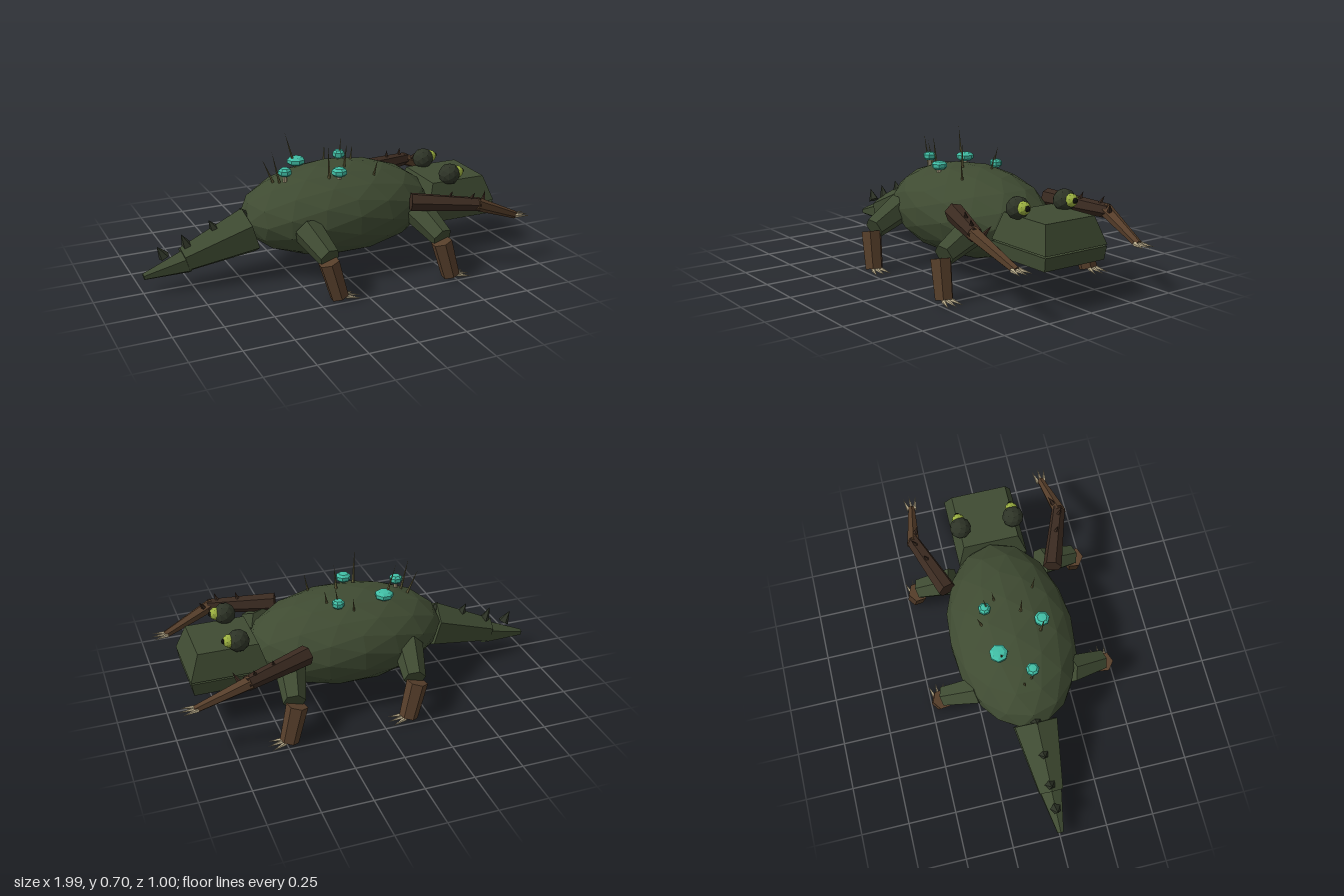
import * as THREE from 'three';

const mat = (name, color) => {
  const m = new THREE.MeshStandardMaterial({ color, flatShading: true });
  m.name = name;
  return m;
};

export function createModel() {
  const green = mat('moss green', 0x3f4b32);
  const darkGreen = mat('dark moss', 0x2e3427);
  const brown = mat('bark brown', 0x563e2a);
  const darkBrown = mat('dark bark', 0x3a2a20);
  const ivory = mat('ivory', 0xb5a888);
  const spineTan = mat('spine olive', 0x6c6640);
  const teal = mat('fungus teal', 0x41bfa6);
  const lime = mat('eye lime', 0x9bb040);
  const black = mat('pupil black', 0x12120d);

  const root = new THREE.Group();
  root.name = 'swampBeast';

  const add = (name, geometry, material, pos = [0, 0, 0], parent = root) => {
    const m = new THREE.Mesh(geometry, material);
    m.name = name;
    m.position.set(...pos);
    parent.add(m);
    return m;
  };

  // Tapered prism from a to b; r1 = 0 makes a cone
  const limb = (name, a, b, r0, r1, sides, material, parent = root) => {
    const p = new THREE.Vector3(...a), q = new THREE.Vector3(...b);
    const d = q.clone().sub(p);
    const geo = new THREE.CylinderGeometry(r1, r0, d.length(), sides);
    geo.rotateY(Math.PI / 6);
    const m = add(name, geo, material, p.clone().add(q).multiplyScalar(0.5).toArray(), parent);
    m.quaternion.setFromUnitVectors(new THREE.Vector3(0, 1, 0), d.normalize());
    return m;
  };

  // Block with separate x range and half width at the bottom and the top
  const block = (name, y0, y1, bottom, top, material) => {
    const geo = new THREE.BoxGeometry(1, 1, 1);
    const p = geo.attributes.position;
    for (let i = 0; i < p.count; i++) {
      const up = p.getY(i) > 0;
      const [x0, x1, hz] = up ? top : bottom;
      p.setXYZ(i, p.getX(i) > 0 ? x1 : x0, up ? y1 : y0, Math.sign(p.getZ(i)) * hz);
    }
    geo.computeVertexNormals();
    return add(name, geo, material);
  };

  // Body
  const body = add('body', new THREE.IcosahedronGeometry(1, 2), green, [0.045, 0.305, -0.01]);
  body.scale.set(0.52, 0.236, 0.328);

  // Tail and its ridge of thorns
  limb('tailBase', [-0.44, 0.25, 0], [-0.785, 0.148, 0], 0.128, 0.07, 6, green);
  limb('tailTip', [-0.77, 0.138, 0], [-0.995, 0.092, 0], 0.066, 0.018, 6, green);
  [[-0.885, 0.18, -0.92, 0.24], [-0.765, 0.215, -0.795, 0.285],
   [-0.62, 0.28, -0.65, 0.335], [-0.46, 0.33, -0.485, 0.375]].forEach(([x0, y0, x1, y1]) =>
    limb('tailThorn', [x0, y0, 0], [x1, y1, 0], 0.03, 0, 5, darkGreen));

  // Head with a narrow mouth gap
  block('upperHead', 0.27, 0.403, [0.5, 0.895, 0.187], [0.54, 0.845, 0.148], green);
  block('lowerJaw', 0.195, 0.262, [0.515, 0.882, 0.181], [0.5, 0.893, 0.187], green);
  for (let i = 0; i < 12; i++) {
    add('tooth', new THREE.ConeGeometry(0.009, 0.016, 4), ivory, [0.87, 0.266, -0.143 + i * 0.026]);
  }

  // Three splayed claws
  const claws = (p, length, spread, drop, parent) => {
    for (const s of [-1, 0, 1]) {
      limb('claw', [p[0], p[1], p[2] + s * spread * 0.45],
        [p[0] + length * (s ? 0.88 : 1), p[1] - drop, p[2] + s * spread], 0.012, 0, 5, ivory, parent);
    }
  };

  // Paired parts
  for (const side of [1, -1]) {
    const label = side > 0 ? 'left' : 'right';
    const at = (x, y, z) => [x, y, z * side];

    // Eye
    const eye = new THREE.Group();
    eye.name = label + 'Eye';
    root.add(eye);
    add('eyeSocket', new THREE.IcosahedronGeometry(0.057, 1), darkGreen, at(0.64, 0.44, 0.143), eye);
    add('eyeball', new THREE.IcosahedronGeometry(0.034, 1), lime, at(0.684, 0.447, 0.145), eye);
    add('pupil', new THREE.IcosahedronGeometry(0.015, 1), black, at(0.71, 0.449, 0.145), eye);

    // Walking legs
    for (const [name, x] of [['HindLeg', -0.19], ['FrontLeg', 0.435]]) {
      const leg = new THREE.Group();
      leg.name = label + name;
      root.add(leg);
      limb('thigh', at(x - 0.025, 0.295, 0.24), at(x + 0.01, 0.215, 0.425), 0.078, 0.056, 6, green, leg);
      limb('shin', at(x, 0.2, 0.435), at(x + 0.05, 0.014, 0.452), 0.054, 0.047, 6, brown, leg);
      claws(at(x + 0.075, 0.02, 0.455), 0.085, 0.042, 0.014, leg);
    }

    // Reaching arms with thorns
    const arm = new THREE.Group();
    arm.name = label + 'Arm';
    root.add(arm);
    limb('upperArm', at(0.335, 0.378, 0.285), at(0.67, 0.355, 0.405), 0.05, 0.036, 6, darkBrown, arm);
    limb('forearm', at(0.645, 0.362, 0.405), at(0.915, 0.245, 0.37), 0.036, 0.02, 6, brown, arm);
    limb('armThorn', at(0.7, 0.36, 0.385), at(0.725, 0.405, 0.36), 0.014, 0, 5, darkBrown, arm);
    limb('armThorn', at(0.62, 0.38, 0.39), at(0.635, 0.425, 0.41), 0.014, 0, 5, darkBrown, arm);
    limb('armThorn', at(0.52, 0.39, 0.35), at(0.53, 0.435, 0.365), 0.014, 0, 5, darkBrown, arm);
    claws(at(0.905, 0.247, 0.37), 0.09, 0.035, 0.005, arm);
  }

  // Glowing fungi on the back: x, z, cap radius
  [[-0.13, -0.115, 0.047], [0.12, -0.13, 0.032], [-0.25, 0.03, 0.034], [0, 0.14, 0.039]]
    .forEach(([x, z, r]) => {
      const fungus = new THREE.Group();
      fungus.name = 'fungus';
      fungus.position.set(x, 0.54, z);
      root.add(fungus);
      const profile = [[0, -0.02], [r * 0.75, -0.018], [r, -0.008], [r, 0.01], [r * 0.65, 0.021], [0, 0.023]]
        .map(([a, b]) => new THREE.Vector2(a, b));
      add('fungusCap', new THREE.LatheGeometry(profile, 7), teal, [0, 0, 0], fungus);
      limb('fungusStalk', [0, -0.1, 0], [0, -0.01, 0], r * 0.35, r * 0.28, 6, ivory, fungus);
    });

  // Long thin back spines: base then tip
  [[-0.28, 0.44, -0.02, -0.35, 0.605, -0.028], [-0.265, 0.44, 0.018, -0.315, 0.65, 0.02],
   [-0.135, 0.49, -0.1, -0.19, 0.7, -0.117], [-0.045, 0.49, 0.12, -0.06, 0.685, 0.136],
   [0.07, 0.51, 0.045, 0.08, 0.662, 0.056], [0.11, 0.49, -0.11, 0.135, 0.632, -0.131],
   [0.155, 0.49, -0.068, 0.175, 0.6, -0.078], [0.19, 0.46, 0.13, 0.21, 0.59, 0.155],
   [0.045, 0.48, -0.155, 0.06, 0.588, -0.182]].forEach((s) =>
    limb('backSpine', s.slice(0, 3), s.slice(3), 0.009, 0, 5, spineTan));

  return root;
}
